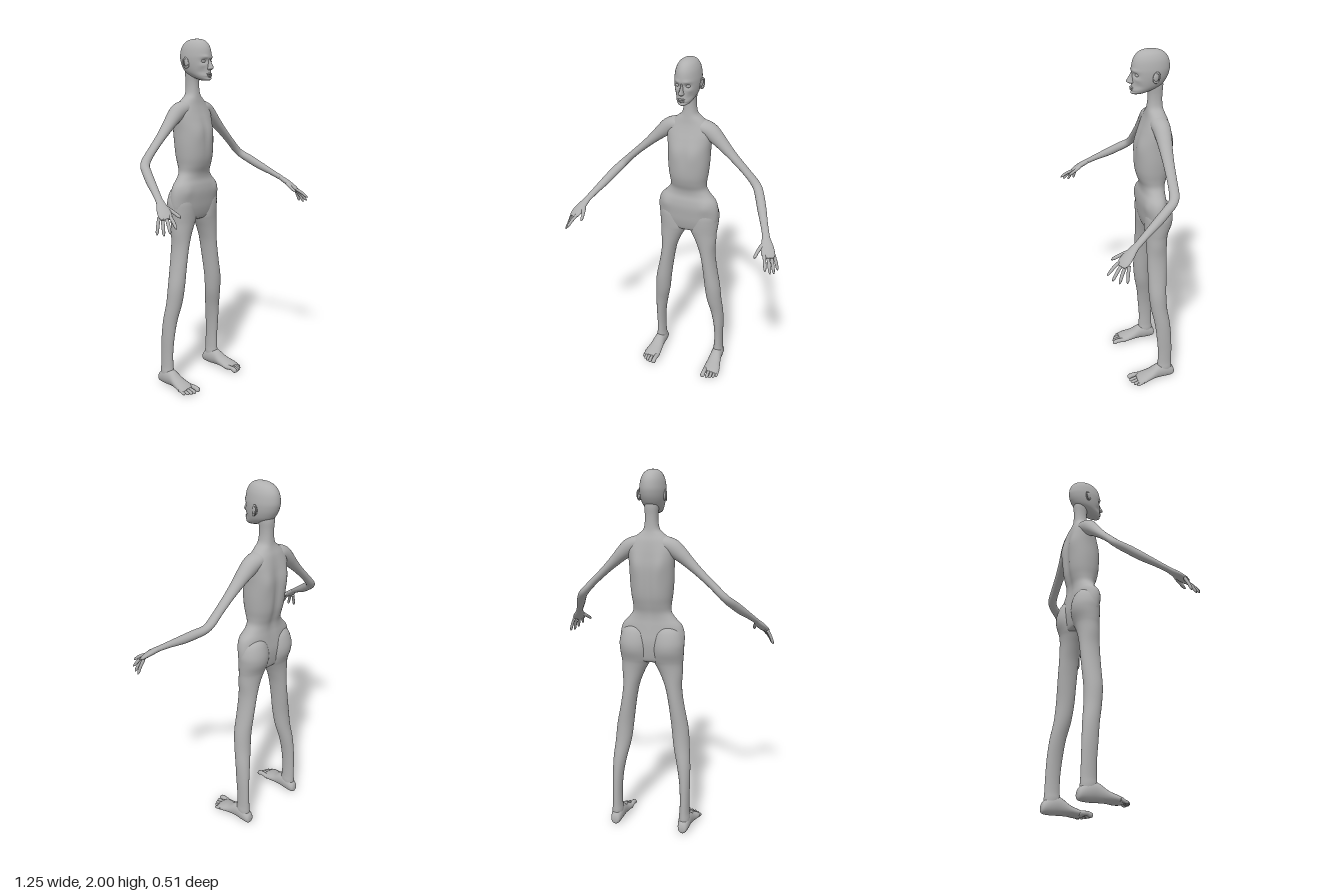
import * as THREE from 'three';

const skin = new THREE.MeshStandardMaterial({ color: 0xb0b0b0 });
skin.name = 'grey skin';

// Smooth interpolation of a list of number rows, t in 0..1
function sample(rows, t) {
  const f = Math.min(Math.max(t, 0), 1) * (rows.length - 1);
  const i = Math.min(Math.floor(f), rows.length - 2), k = f - i;
  const at = (j) => rows[Math.min(Math.max(j, 0), rows.length - 1)];
  return rows[i].map((b, n) => {
    const a = at(i - 1)[n], c = at(i + 1)[n], d = at(i + 2)[n];
    return b + 0.5 * k * (c - a + k * (2 * a - 5 * b + 4 * c - d + k * (3 * (b - c) + d - a)));
  });
}

// Closed skin over rings; place(t, cos, sin) gives a point on ring t
function loft(place, steps, sides) {
  const pos = [], idx = [];
  for (let i = 0; i <= steps; i++) {
    for (let j = 0; j < sides; j++) {
      const a = (j / sides) * Math.PI * 2;
      pos.push(...place(i / steps, Math.cos(a), Math.sin(a)));
    }
  }
  for (let i = 0; i < steps; i++) {
    for (let j = 0; j < sides; j++) {
      const a = i * sides + j, b = i * sides + (j + 1) % sides;
      idx.push(a, a + sides, b, b, a + sides, b + sides);
    }
  }
  for (const end of [0, steps]) {
    const hub = pos.length / 3, mid = [0, 0, 0];
    for (let j = 0; j < sides; j++) for (let n = 0; n < 3; n++) mid[n] += pos[(end * sides + j) * 3 + n] / sides;
    pos.push(...mid);
    for (let j = 0; j < sides; j++) {
      const a = end * sides + j, b = end * sides + (j + 1) % sides;
      idx.push(...(end === 0 ? [hub, a, b] : [hub, b, a]));
    }
  }
  // Turn the faces outward
  let volume = 0;
  const p = (i) => new THREE.Vector3(pos[i * 3], pos[i * 3 + 1], pos[i * 3 + 2]);
  for (let i = 0; i < idx.length; i += 3) volume += p(idx[i]).dot(p(idx[i + 1]).cross(p(idx[i + 2])));
  if (volume < 0) idx.reverse();
  const g = new THREE.BufferGeometry();
  g.setAttribute('position', new THREE.Float32BufferAttribute(pos, 3));
  g.setIndex(idx);
  g.computeVertexNormals();
  return g;
}

// Upright stack of ovals: rows of [y, centre x, half width, front z, back z]
function stack(rows, steps, sides, power = 1, shape = (v) => v) {
  const soft = (c) => Math.sign(c) * Math.abs(c) ** power;
  return loft((t, c, s) => {
    const [y, cx, w, zf, zb] = sample(rows, t);
    return shape([cx + w * soft(c), y, (zf + zb) / 2 + ((zf - zb) / 2) * soft(s)], s);
  }, steps, sides);
}

// Limb along a path: rows of [x, y, z, thickness radius, width radius]
function limb(rows, steps, sides) {
  return loft((t, c, s) => {
    const [x, y, z, a, b] = sample(rows, t);
    const p0 = new THREE.Vector3(...sample(rows, t - 0.02)), p1 = new THREE.Vector3(...sample(rows, t + 0.02));
    const dir = p1.sub(p0).normalize();
    const up = new THREE.Vector3(0, 1, 0).addScaledVector(dir, -dir.y).normalize();
    const side = dir.clone().cross(up);
    return new THREE.Vector3(x, y, z).addScaledVector(up, a * c).addScaledVector(side, b * s).toArray();
  }, steps, sides);
}

function ellipsoid(x, y, z, rx, ry, rz) {
  return new THREE.SphereGeometry(1, 20, 14).scale(rx, ry, rz).translate(x, y, z);
}

function mirrored(geometry) {
  const g = geometry.clone().scale(-1, 1, 1);
  g.setIndex(Array.from(g.index.array).reverse());
  g.computeVertexNormals();
  return g;
}

const bump = (x, y, cx, cy, sx, sy) => Math.exp(-(((x - cx) / sx) ** 2) - ((y - cy) / sy) ** 2);

export function createModel() {
  const model = new THREE.Group();
  model.name = 'thin figure';
  const add = (name, g) => {
    const m = new THREE.Mesh(g, skin);
    m.name = name;
    model.add(m);
  };
  const pair = (name, g) => {
    add(name + 'Left', g);
    add(name + 'Right', mirrored(g));
  };

  // Pelvis, waist, rib cage and neck, with spine groove and shoulder blades
  add('torso', stack([
    [0.985, 0, 0.1, -0.12, -0.2], [1.0, 0, 0.15, -0.1, -0.212], [1.05, 0, 0.174, -0.086, -0.222],
    [1.1, 0, 0.18, -0.08, -0.226], [1.15, 0, 0.177, -0.076, -0.222], [1.19, 0, 0.163, -0.08, -0.218],
    [1.225, 0, 0.13, -0.088, -0.215], [1.26, 0, 0.106, -0.085, -0.218], [1.3, 0, 0.105, -0.07, -0.23],
    [1.35, 0, 0.112, -0.058, -0.243], [1.42, 0, 0.118, -0.055, -0.25], [1.5, 0, 0.121, -0.062, -0.25],
    [1.56, 0, 0.127, -0.08, -0.24], [1.6, 0, 0.128, -0.095, -0.232], [1.64, 0, 0.105, -0.108, -0.222],
    [1.67, 0, 0.072, -0.114, -0.21], [1.695, 0, 0.044, -0.118, -0.203], [1.73, 0, 0.035, -0.122, -0.2],
    [1.77, 0, 0.034, -0.122, -0.2], [1.81, 0, 0.037, -0.115, -0.203], [1.85, 0, 0.035, -0.11, -0.2],
  ], 80, 56, 0.9, ([x, y, z], s) => {
    const ax = Math.abs(x);
    if (s < 0) z += 0.014 * bump(x, y, 0, 1.4, 0.025, 0.18) - 0.01 * bump(ax, y, 0.07, 1.52, 0.03, 0.07);
    else z += 0.005 * bump(ax, y, 0.055, 1.48, 0.035, 0.05) - 0.004 * bump(x, y, 0, 1.48, 0.015, 0.1)
      + 0.006 * bump(ax, y, 0.12, 1.16, 0.03, 0.04);
    return [x, y, z];
  }));

  // Head with eye sockets, brows and hollow cheeks
  add('head', stack([
    [2.0, 0, 0.004, -0.125, -0.135], [1.996, 0, 0.024, -0.09, -0.17], [1.98, 0, 0.045, -0.06, -0.205],
    [1.95, 0, 0.06, -0.04, -0.228], [1.91, 0, 0.067, -0.032, -0.236], [1.88, 0, 0.067, -0.032, -0.232],
    [1.85, 0, 0.063, -0.034, -0.22], [1.82, 0, 0.055, -0.032, -0.198], [1.798, 0, 0.044, -0.028, -0.16],
    [1.783, 0, 0.032, -0.028, -0.12], [1.775, 0, 0.018, -0.035, -0.09], [1.773, 0, 0.004, -0.055, -0.065],
  ], 70, 64, 1, ([x, y, z], s) => {
    const ax = Math.abs(x);
    if (s > 0) {
      z += 0.005 * bump(ax, y, 0.027, 1.9, 0.018, 0.008) - 0.012 * bump(ax, y, 0.027, 1.878, 0.015, 0.011)
        + 0.004 * bump(ax, y, 0.04, 1.853, 0.012, 0.01) - 0.006 * bump(ax, y, 0.04, 1.82, 0.014, 0.016)
        - 0.005 * bump(x, y, 0, 1.79, 0.03, 0.004);
    }
    return [x, y, z];
  }));
  add('nose', stack([
    [1.892, 0, 0.006, -0.031, -0.06], [1.868, 0, 0.008, -0.018, -0.06], [1.848, 0, 0.011, -0.006, -0.06],
    [1.838, 0, 0.0145, -0.008, -0.06], [1.83, 0, 0.009, -0.022, -0.06],
  ], 16, 20));
  add('upperLip', ellipsoid(0, 1.809, -0.034, 0.021, 0.005, 0.011));
  add('lowerLip', ellipsoid(0, 1.8, -0.034, 0.018, 0.005, 0.011));
  pair('eye', ellipsoid(0.027, 1.877, -0.056, 0.014, 0.009, 0.012));
  pair('ear', ellipsoid(0, 0, 0, 0.009, 0.027, 0.016).rotateZ(-0.12).rotateX(-0.2).translate(0.067, 1.868, -0.142));
  pair('earRim', new THREE.TorusGeometry(0.018, 0.004, 8, 24).scale(0.85, 1.4, 1)
    .rotateY(Math.PI / 2 - 0.35).rotateX(-0.2).translate(0.073, 1.87, -0.144));

  // Legs, rising into the buttocks
  pair('leg', stack([
    [1.195, 0.085, 0.03, -0.14, -0.195], [1.16, 0.089, 0.07, -0.105, -0.226], [1.1, 0.092, 0.087, -0.09, -0.244],
    [1.05, 0.091, 0.088, -0.088, -0.243], [1.0, 0.089, 0.086, -0.09, -0.226], [0.97, 0.095, 0.077, -0.092, -0.218],
    [0.92, 0.108, 0.063, -0.094, -0.213], [0.85, 0.12, 0.047, -0.096, -0.211], [0.78, 0.131, 0.042, -0.097, -0.21],
    [0.7, 0.144, 0.043, -0.098, -0.207], [0.6, 0.16, 0.047, -0.1, -0.203], [0.5, 0.171, 0.045, -0.112, -0.208],
    [0.4, 0.187, 0.038, -0.132, -0.223], [0.3, 0.197, 0.03, -0.143, -0.232], [0.2, 0.2, 0.026, -0.152, -0.236],
    [0.12, 0.2, 0.027, -0.152, -0.238], [0.08, 0.2, 0.031, -0.15, -0.24], [0.03, 0.2, 0.028, -0.16, -0.24],
  ], 70, 32));

  // Feet: rows of [z, centre x, half width, bottom y, top y]
  const foot = [
    [-0.256, 0.2, 0.012, 0.018, 0.04], [-0.245, 0.2, 0.026, 0.004, 0.068], [-0.2, 0.2, 0.034, 0, 0.1],
    [-0.15, 0.201, 0.036, 0.002, 0.098], [-0.1, 0.204, 0.043, 0.003, 0.066], [-0.06, 0.207, 0.05, 0, 0.05],
    [-0.03, 0.207, 0.05, 0.001, 0.038], [-0.015, 0.205, 0.042, 0.006, 0.028],
  ];
  pair('foot', loft((t, c, s) => {
    const [z, cx, w, y0, y1] = sample(foot, t);
    return [cx + w * c, (y0 + y1) / 2 + ((y1 - y0) / 2) * s, z];
  }, 30, 28));
  [[0.171, 0.034, 0.0145], [0.198, 0.03, 0.01], [0.218, 0.023, 0.0095], [0.236, 0.012, 0.009], [0.252, -0.004, 0.009]]
    .forEach(([x, tip, r], i) => pair('toe' + (i + 1), limb([
      [x, 0.02, -0.05, r, r], [x, r + 0.009, tip - 0.035, r * 0.9, r * 0.9], [x, r + 0.002, tip - 0.014, r, r],
      [x, r, tip - 0.004, r * 0.75, r * 0.8], [x, r, tip, r * 0.2, r * 0.2],
    ], 16, 14)));

  // Arms from inside the shoulder to the wrist
  pair('arm', limb([
    [0.04, 1.63, -0.165, 0.034, 0.045], [0.08, 1.62, -0.165, 0.042, 0.05], [0.12, 1.6, -0.165, 0.046, 0.046],
    [0.16, 1.568, -0.163, 0.039, 0.041], [0.2, 1.531, -0.16, 0.031, 0.035], [0.26, 1.475, -0.156, 0.023, 0.029],
    [0.33, 1.41, -0.152, 0.02, 0.026], [0.38, 1.36, -0.147, 0.021, 0.026], [0.409, 1.33, -0.13, 0.022, 0.025],
    [0.435, 1.3, -0.087, 0.024, 0.025], [0.465, 1.262, -0.03, 0.023, 0.024], [0.5, 1.22, 0.04, 0.017, 0.02],
    [0.528, 1.185, 0.095, 0.014, 0.019], [0.535, 1.175, 0.11, 0.012, 0.018],
  ], 70, 24));

  // Hands
  pair('palm', limb([
    [0.522, 1.192, 0.085, 0.013, 0.018], [0.535, 1.173, 0.112, 0.015, 0.024], [0.55, 1.15, 0.142, 0.015, 0.034],
    [0.565, 1.127, 0.17, 0.012, 0.036], [0.574, 1.113, 0.187, 0.006, 0.026],
  ], 20, 24));
  const base = [[0.545, 1.127, 0.178], [0.563, 1.122, 0.173], [0.579, 1.117, 0.164], [0.592, 1.113, 0.152]];
  const tips = [[0.576, 1.075, 0.256], [0.598, 1.052, 0.236], [0.611, 1.038, 0.205], [0.621, 1.04, 0.167]];
  base.forEach((b, i) => {
    const at = (k, lift, r) => [...b.map((v, n) => v + (tips[i][n] - v) * k + (n === 1 ? lift : 0)), r, r];
    pair('finger' + (i + 1), limb([
      at(-0.1, 0, 0.009), at(0.3, 0.005, 0.0085), at(0.6, 0.006, 0.0085), at(0.88, 0.002, 0.007), at(1, 0, 0.002),
    ], 16, 12));
  });
  pair('thumb', limb([
    [0.54, 1.168, 0.118, 0.011, 0.014], [0.523, 1.153, 0.148, 0.011, 0.013], [0.511, 1.136, 0.178, 0.009, 0.009],
    [0.506, 1.121, 0.205, 0.008, 0.008], [0.505, 1.114, 0.217, 0.002, 0.002],
  ], 16, 12));

  return model;
}
